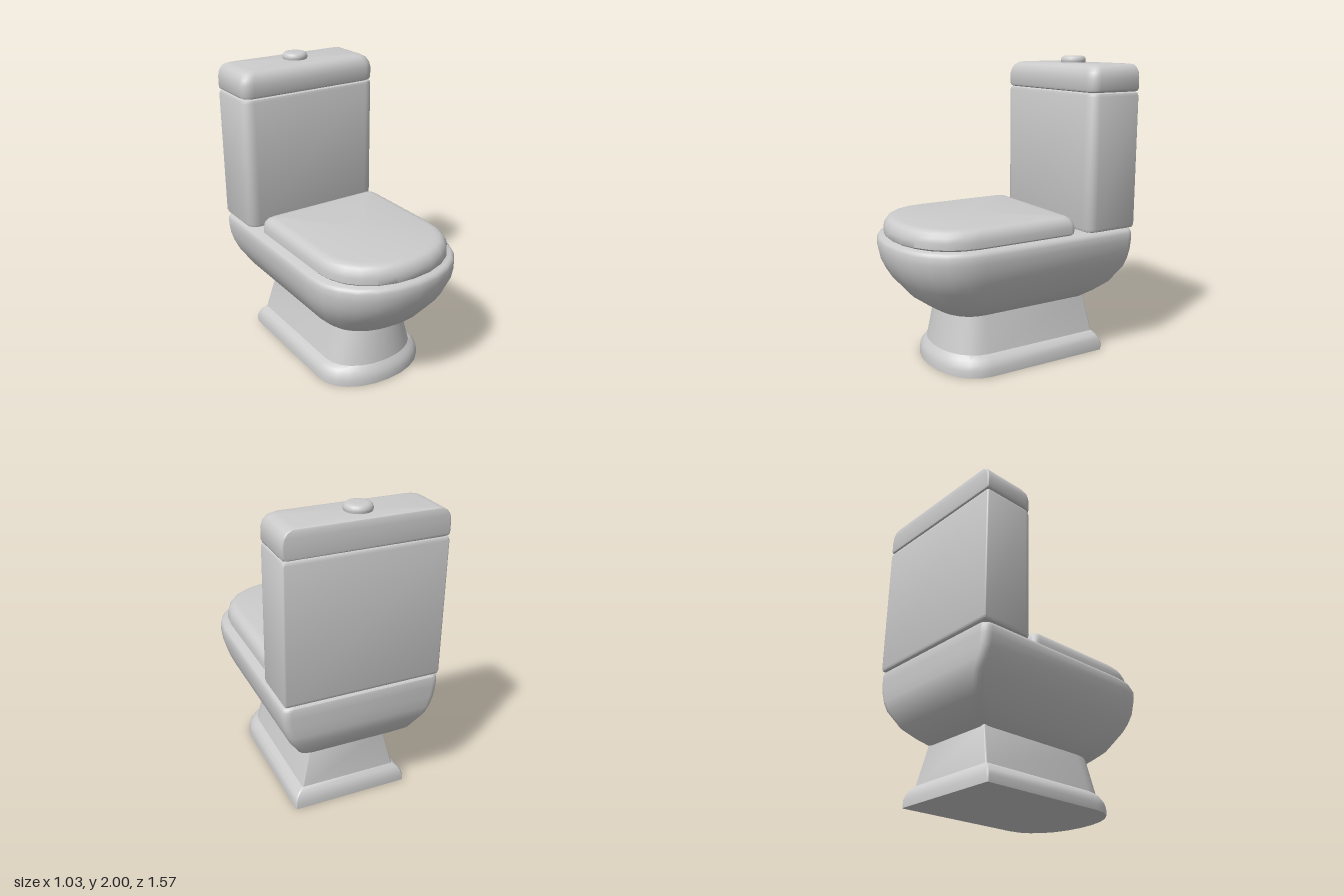
import * as THREE from 'three';
import { toCreasedNormals } from 'three/addons/utils/BufferGeometryUtils.js';

const material = new THREE.MeshStandardMaterial({ color: 0xcccccc });

// Closed outline in plan: square back with radius r, front corners cw wide and cd deep.
function outline(w, back, front, cw, cd, r, power) {
  const half = [];
  for (let i = 0; i <= 4; i++) {
    const a = (i / 4) * Math.PI / 2;
    half.push([w - r + r * Math.sin(a), back + r - r * Math.cos(a)]);
  }
  for (let i = 0; i <= 6; i++) {
    const a = (i / 6) * Math.PI / 2;
    const c = i === 6 ? 0 : Math.pow(Math.cos(a), 2 / power);
    half.push([w - cw + cw * c, front - cd + cd * Math.pow(Math.sin(a), 2 / power)]);
  }
  const mirrored = half.map(([x, z]) => [-x, z]).reverse();
  if (Math.abs(mirrored[0][0]) < 1e-6) mirrored.shift();
  return half.concat(mirrored);
}

// Skin a stack of outlines from bottom to top, capped at both ends.
// Section: [y, half width, back z, front z, corner depth, corner width = half width]
function loft(name, sections, r, power = 2) {
  const pos = [], index = [];
  let n = 0;
  for (const [y, w, back, front, cd, cw = w] of sections) {
    const ring = outline(w, back, front, cw, cd, r, power);
    n = ring.length;
    for (const [x, z] of ring) pos.push(x, y, z);
  }
  const last = (sections.length - 1) * n;
  const bottom = last + n, top = bottom + 1;
  for (const s of [sections[0], sections[sections.length - 1]]) pos.push(0, s[0], (s[2] + s[3]) / 2);
  for (let j = 0; j < n; j++) {
    const k = (j + 1) % n;
    for (let o = 0; o < last; o += n) {
      index.push(o + j, o + n + j, o + k, o + k, o + n + j, o + n + k);
    }
    index.push(bottom, j, k, top, last + k, last + j);
  }
  const geo = new THREE.BufferGeometry();
  geo.setAttribute('position', new THREE.Float32BufferAttribute(pos, 3));
  geo.setIndex(index);
  const mesh = new THREE.Mesh(toCreasedNormals(geo, 0.75), material);
  mesh.name = name;
  return mesh;
}

export function createModel() {
  const group = new THREE.Group();
  group.name = 'toilet';

  // Flared foot and tapering stem
  group.add(loft('pedestalFoot', [
    [0, 0.387, -0.638, 0.507, 0.27],
    [0.045, 0.387, -0.638, 0.507, 0.27],
    [0.08, 0.377, -0.63, 0.497, 0.265],
    [0.105, 0.358, -0.618, 0.482, 0.255],
    [0.13, 0.325, -0.597, 0.465, 0.24],
  ], 0.01, 2.1));
  group.add(loft('pedestalStem', [
    [0.12, 0.327, -0.598, 0.466, 0.24],
    [0.38, 0.26, -0.563, 0.425, 0.22],
  ], 0.01, 2.1));

  // Bowl swelling up to the rim
  group.add(loft('bowl', [
    [0.37, 0.26, -0.565, 0.43, 0.22],
    [0.42, 0.32, -0.64, 0.51, 0.28],
    [0.485, 0.385, -0.715, 0.6, 0.33],
    [0.6, 0.458, -0.773, 0.7, 0.39],
    [0.66, 0.485, -0.783, 0.738, 0.41],
    [0.73, 0.507, -0.785, 0.772, 0.43],
    [0.8, 0.516, -0.786, 0.787, 0.44],
    [0.845, 0.516, -0.786, 0.787, 0.44],
    [0.865, 0.508, -0.782, 0.78, 0.435],
    [0.875, 0.492, -0.768, 0.765, 0.425],
  ], 0.05, 2.15));

  // Closed seat cover with a soft upper edge
  group.add(loft('seatCover', [
    [0.87, 0.445, -0.335, 0.73, 0.38],
    [0.885, 0.46, -0.35, 0.743, 0.39],
    [0.925, 0.46, -0.35, 0.743, 0.39],
    [0.955, 0.453, -0.344, 0.736, 0.385],
    [0.98, 0.437, -0.33, 0.72, 0.375],
    [0.993, 0.415, -0.31, 0.7, 0.36],
    [0.998, 0.385, -0.28, 0.67, 0.34],
  ], 0.04, 2.15));

  // Cistern body
  group.add(loft('tank', [
    [0.88, 0.485, -0.77, -0.43, 0.05, 0.06],
    [0.887, 0.501, -0.781, -0.416, 0.06, 0.07],
    [0.905, 0.508, -0.786, -0.41, 0.065, 0.075],
    [1.755, 0.508, -0.786, -0.41, 0.065, 0.075],
    [1.773, 0.501, -0.781, -0.416, 0.06, 0.07],
    [1.78, 0.485, -0.77, -0.43, 0.05, 0.06],
  ], 0.012));

  // Cistern lid, rounded at the front and sides, flat at the back
  group.add(loft('tankLid', [
    [1.78, 0.485, -0.775, -0.43, 0.05, 0.06],
    [1.787, 0.502, -0.784, -0.415, 0.06, 0.07],
    [1.8, 0.508, -0.786, -0.41, 0.065, 0.075],
    [1.87, 0.508, -0.786, -0.41, 0.065, 0.075],
    [1.905, 0.501, -0.786, -0.417, 0.065, 0.075],
    [1.935, 0.482, -0.785, -0.435, 0.06, 0.07],
    [1.95, 0.455, -0.782, -0.46, 0.05, 0.06],
    [1.955, 0.425, -0.775, -0.49, 0.045, 0.055],
  ], 0.012));

  // Flush button
  const profile = [[0.08, 1.945], [0.085, 1.965], [0.085, 1.975], [0.08, 1.988], [0.068, 1.997], [0.05, 2], [0, 2]];
  const button = new THREE.Mesh(
    new THREE.LatheGeometry(profile.map(([x, y]) => new THREE.Vector2(x, y)), 24), material);
  button.name = 'flushButton';
  button.position.z = -0.63;
  group.add(button);

  return group;
}
